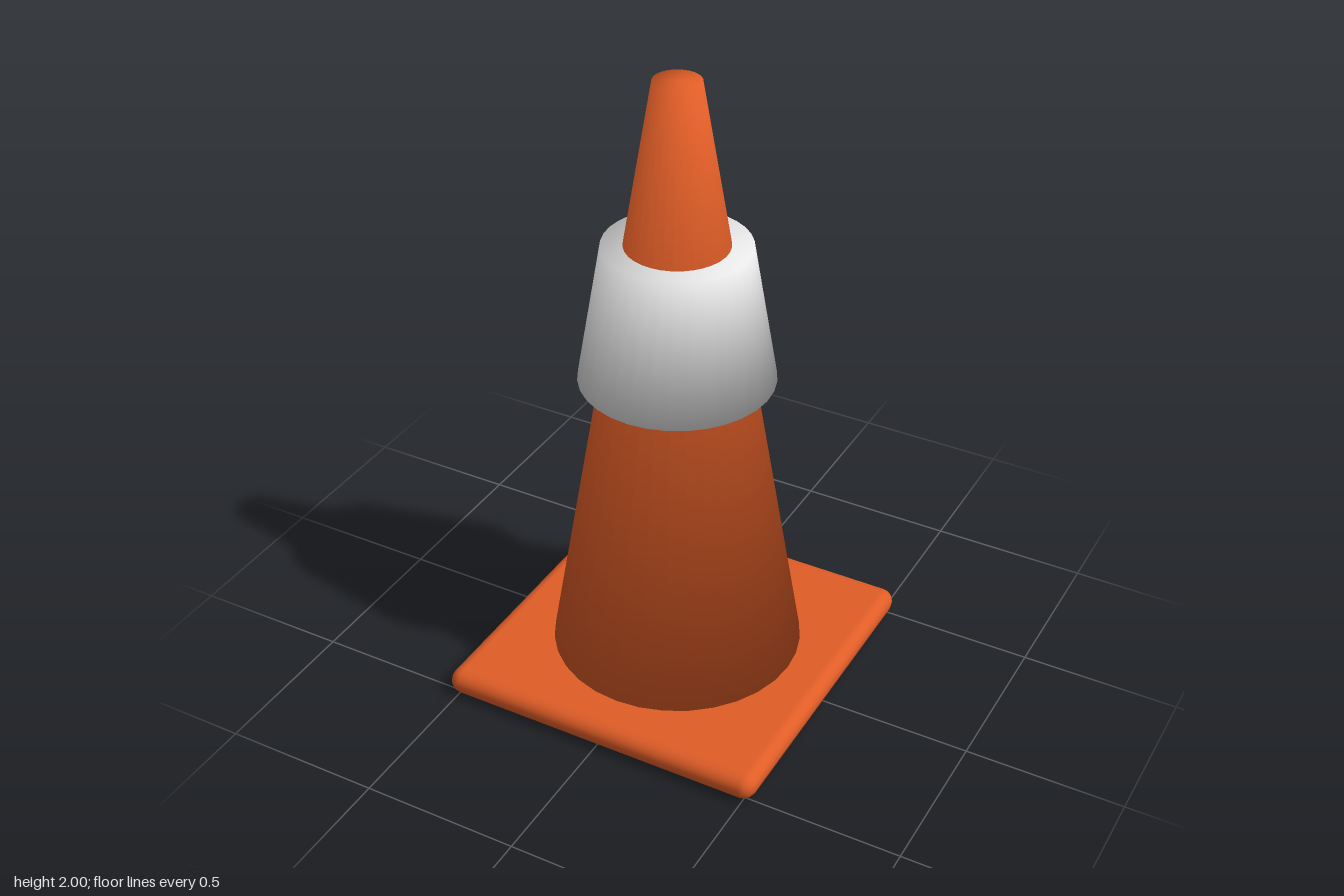
import * as THREE from 'three';
import { RoundedBoxGeometry } from 'three/addons/geometries/RoundedBoxGeometry.js';

// Closed frustum whose rims are shaded smoothly into its caps
function softFrustum(rTop, rBottom, yBottom, yTop) {
  const h = yTop - yBottom;
  const geo = new THREE.CylinderGeometry(rTop, rBottom, h, 32);
  const pos = geo.attributes.position;
  const side = new THREE.Vector2(h, rBottom - rTop).normalize();
  const n = new THREE.Vector3();
  for (let i = 0; i < pos.count; i++) {
    const x = pos.getX(i), y = pos.getY(i), z = pos.getZ(i);
    const r = Math.hypot(x, z);
    if (r < 1e-4) continue; // cap centres stay vertical
    n.set(x / r * side.x, side.y + Math.sign(y), z / r * side.x).normalize();
    geo.attributes.normal.setXYZ(i, n.x, n.y, n.z);
  }
  return geo.translate(0, yBottom + h / 2, 0);
}

export function createModel() {
  const orange = new THREE.MeshStandardMaterial({ color: 0xe05d27 });
  orange.name = 'orange plastic';
  const white = new THREE.MeshStandardMaterial({ color: 0xe6e6e6 });
  white.name = 'white band';

  const model = new THREE.Group();
  model.name = 'trafficCone';
  const add = (name, geo, mat) => {
    const mesh = new THREE.Mesh(geo, mat);
    mesh.name = name;
    model.add(mesh);
  };

  // Square foot with rounded edges
  add('base', new RoundedBoxGeometry(1.066, 0.085, 1.066, 2, 0.042).translate(0, 0.0425, 0), orange);
  // Tapered body
  add('coneBody', softFrustum(0.071, 0.394, 0.08, 2), orange);
  // Thick collar around the upper body
  add('reflectiveBand', softFrustum(0.222, 0.297, 1.05, 1.492), white);

  return model;
}
